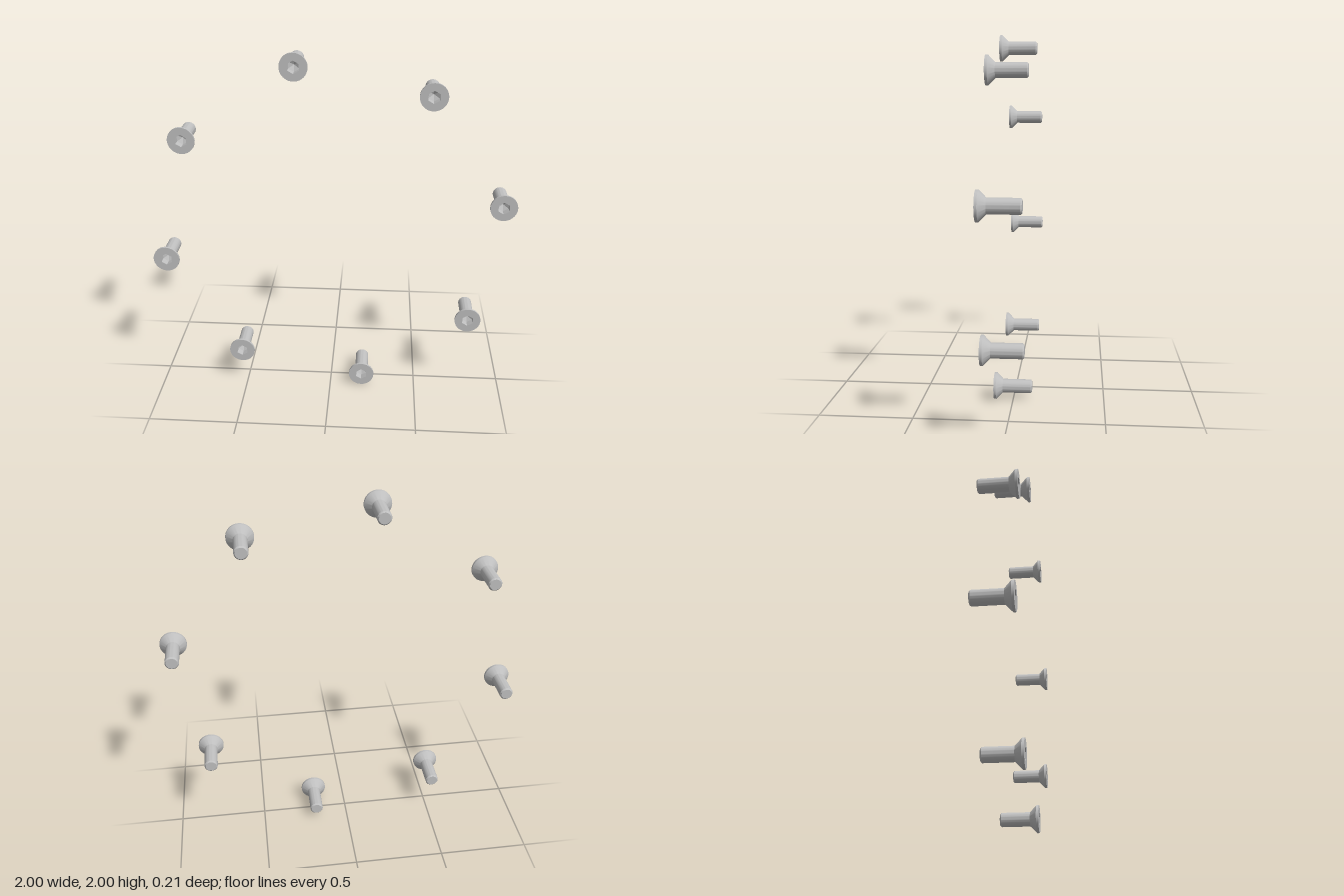
import * as THREE from 'three';
import { toCreasedNormals } from 'three/addons/utils/BufferGeometryUtils.js';

const SCREWS = 8, RING = 0.945, START = THREE.MathUtils.degToRad(11.3);
const FRONT = 0.104, BACK = -0.104, HEAD = 0.073, SHANK = 0.0375;
const HEX = 0.034, SOCKET = 0.04, POINT = 0.018, BEVEL = 0.007;

export function createModel() {
  const steel = new THREE.MeshStandardMaterial({ color: 0xc0c0c0, side: THREE.DoubleSide });
  steel.name = 'steel grey';

  // shank with bevelled tip, conical underside and thin head rim
  const profile = [
    [0, BACK], [SHANK - BEVEL, BACK], [SHANK, BACK + BEVEL], [SHANK, 0.056],
    [HEAD, FRONT - 0.013], [HEAD, FRONT],
  ].map(([r, y]) => new THREE.Vector2(r, y));
  const body = toCreasedNormals(new THREE.LatheGeometry(profile, 40).rotateX(Math.PI / 2), 0.5);

  // flat head face with a hexagonal opening
  const disc = new THREE.Shape().absarc(0, 0, HEAD, 0, Math.PI * 2);
  const corners = [];
  for (let i = 0; i < 6; i++) {
    const a = Math.PI / 2 - i * Math.PI / 3;
    corners.push(new THREE.Vector2(HEX * Math.cos(a), HEX * Math.sin(a)));
  }
  disc.holes.push(new THREE.Path(corners));
  const face = new THREE.ShapeGeometry(disc, 20).translate(0, 0, FRONT);

  // socket walls and pointed floor
  const walls = toCreasedNormals(
    new THREE.CylinderGeometry(HEX, HEX, SOCKET, 6, 1, true)
      .rotateX(Math.PI / 2).translate(0, 0, FRONT - SOCKET / 2), 0.3);
  const floor = toCreasedNormals(
    new THREE.ConeGeometry(HEX, POINT, 6, 1, true)
      .rotateX(-Math.PI / 2).translate(0, 0, FRONT - SOCKET - POINT / 2), 0.1);

  const parts = { screwBody: body, headFace: face, socketWalls: walls, socketFloor: floor };

  // ring of identical countersunk screws
  const model = new THREE.Group();
  model.name = 'screwRing';
  for (let i = 0; i < SCREWS; i++) {
    const a = START + i * Math.PI * 2 / SCREWS;
    const screw = new THREE.Group();
    screw.name = `screw${i + 1}`;
    for (const [name, geometry] of Object.entries(parts)) {
      const mesh = new THREE.Mesh(geometry, steel);
      mesh.name = name;
      screw.add(mesh);
    }
    screw.position.set(RING * Math.cos(a), 1 + RING * Math.sin(a), 0);
    model.add(screw);
  }
  return model;
}
